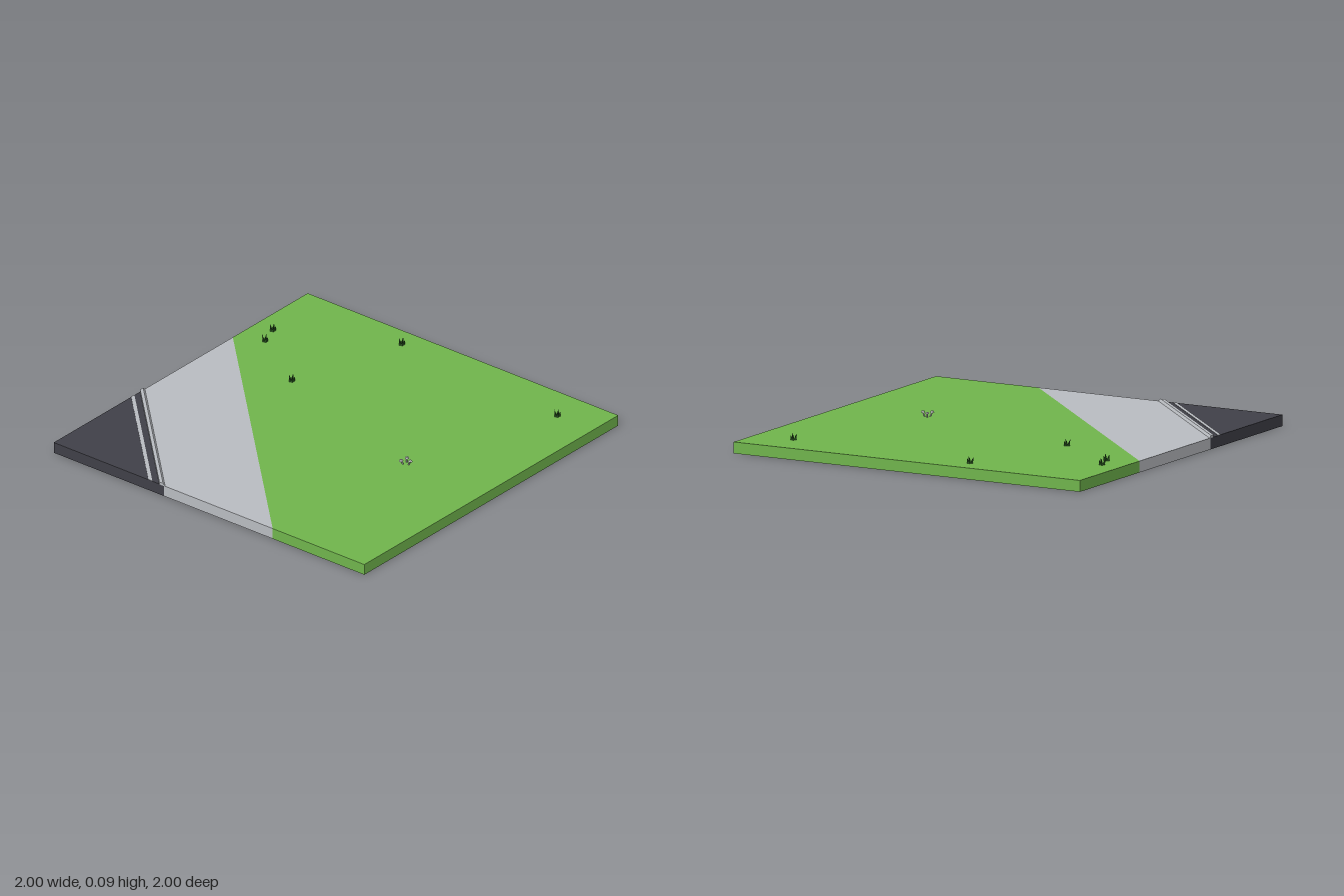
import * as THREE from 'three';

const mat = (name, color) => {
  const m = new THREE.MeshStandardMaterial({ color });
  m.name = name;
  return m;
};

export function createModel() {
  const group = new THREE.Group();
  const grassMat = mat('grass green', 0x70b44c);
  const paveMat = mat('paving grey', 0xb9bcc1);
  const roadMat = mat('asphalt', 0x404048);
  const leafMat = mat('dark leaf green', 0x2f5f26);
  const capMat = mat('pale cap', 0xc4c8c4);
  const TOP = 0.058;

  const add = (name, geo, material, parent = group) => {
    const mesh = new THREE.Mesh(geo, material);
    mesh.name = name;
    parent.add(mesh);
    return mesh;
  };

  // upright prism over a ground outline of [x, z] points
  const prism = (points, y0, y1) => {
    const shape = new THREE.Shape(points.map(([x, z]) => new THREE.Vector2(x, -z)));
    return new THREE.ExtrudeGeometry(shape, { depth: y1 - y0, bevelEnabled: false })
      .rotateX(-Math.PI / 2).translate(0, y0, 0);
  };
  // diagonal strip of the tile where a <= x + z <= b
  const band = (a, b, y0, y1) =>
    prism([[a + 1, -1], [b + 1, -1], [-1, b + 1], [-1, a + 1]], y0, y1);

  // ground slabs
  const grassEdge = -0.59, roadEdge = -1.29;
  add('lawn', prism([[grassEdge + 1, -1], [1, -1], [1, 1], [-1, 1], [-1, grassEdge + 1]], 0, TOP), grassMat);
  add('pavement', band(roadEdge, grassEdge, 0, TOP), paveMat);
  add('road', prism([[-1, -1], [roadEdge + 1, -1], [-1, roadEdge + 1]], 0, TOP), roadMat);
  add('roadStripe', band(-1.39, -1.365, TOP, TOP + 0.002), paveMat);

  // kerb with its outer top edge chamfered
  const kerb = band(-1.32, -1.28, TOP - 0.002, 0.07);
  const p = kerb.attributes.position;
  for (let i = 0; i < p.count; i++) {
    if (p.getY(i) > 0.065 && p.getX(i) + p.getZ(i) > -1.3) {
      if (p.getZ(i) < -0.99) p.setX(i, p.getX(i) - 0.016);
      else p.setZ(i, p.getZ(i) - 0.016);
    }
  }
  kerb.computeVertexNormals();
  add('kerb', kerb, paveMat);

  // grass tufts: five blades leaning outwards
  const tufts = [[0.48, -0.85], [0.59, -0.89], [0.245, -0.485], [0.885, -0.3], [0.8, 0.77]];
  for (const [x, z] of tufts) {
    const tuft = new THREE.Group();
    tuft.name = 'grassTuft';
    tuft.position.set(x, TOP, z);
    for (let i = 0; i < 5; i++) {
      const h = i % 2 ? 0.028 : 0.036;
      const blade = new THREE.ConeGeometry(0.008, h, 4).translate(0, h / 2, 0)
        .rotateZ(-0.3).translate(0.008, -0.001, 0).rotateY(Math.PI / 2 + i * Math.PI * 0.4);
      add('blade', blade.toNonIndexed(), leafMat, tuft).geometry.computeVertexNormals();
    }
    group.add(tuft);
  }

  // cluster of small flat-capped mushrooms
  const cluster = new THREE.Group();
  cluster.name = 'mushroomCluster';
  for (const [x, z] of [[-0.08, 0.485], [-0.04, 0.49], [-0.057, 0.525]]) {
    const foot = new THREE.Vector3(x * 0.6 - 0.024, TOP, z * 0.6 + 0.2);
    const head = new THREE.Vector3(x, 0.08, z);
    add('stem', new THREE.TubeGeometry(new THREE.LineCurve3(foot, head), 1, 0.004, 5), capMat, cluster);
    add('cap', new THREE.CylinderGeometry(0.007, 0.011, 0.008, 8).translate(x, 0.082, z), capMat, cluster);
  }
  group.add(cluster);
  return group;
}
